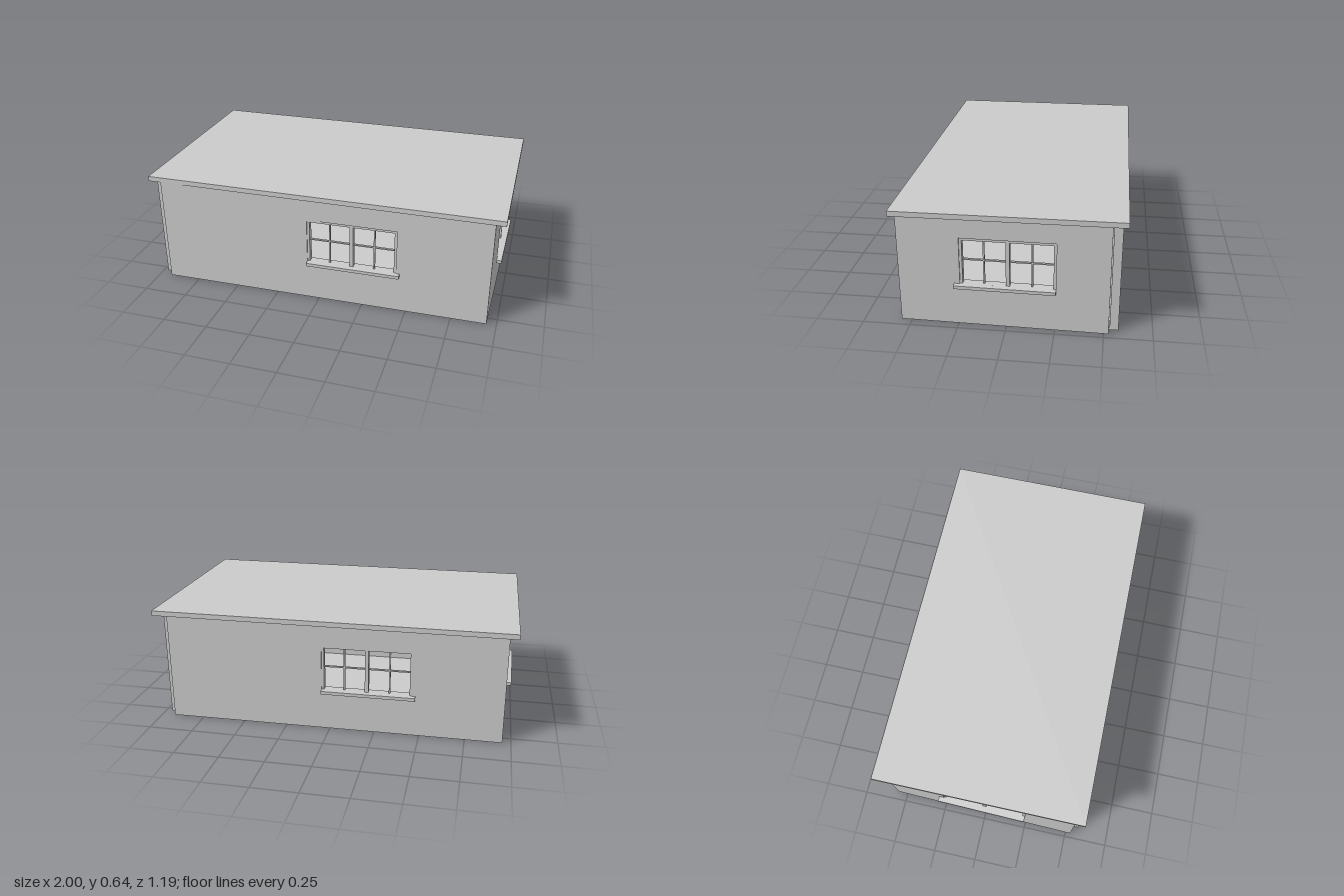
import * as THREE from 'three';

const material = new THREE.MeshStandardMaterial({ color: 0xcccccc, flatShading: true });
const WALL_TOP = 0.615, THICK = 0.045;
const WIN_BOTTOM = 0.235, WIN_TOP = 0.492;

function box(parent, name, x0, x1, y0, y1, z0, z1) {
  const mesh = new THREE.Mesh(new THREE.BoxGeometry(x1 - x0, y1 - y0, z1 - z0), material);
  mesh.position.set((x0 + x1) / 2, (y0 + y1) / 2, (z0 + z1) / 2);
  mesh.name = name;
  parent.add(mesh);
}

// Window with border, central mullion, thin glazing bars and a sill
function makeWindow(x0, x1, sill0, sill1) {
  const win = new THREE.Group();
  win.name = 'window';
  const b = 0.014, back = -0.038, front = -0.006;
  box(win, 'frameLeft', x0, x0 + b, WIN_BOTTOM, WIN_TOP, back, front);
  box(win, 'frameRight', x1 - b, x1, WIN_BOTTOM, WIN_TOP, back, front);
  box(win, 'frameTop', x0 + b, x1 - b, WIN_TOP - b, WIN_TOP, back, front);
  const mid = (x0 + x1) / 2, quarter = (x1 - x0) / 4;
  box(win, 'mullion', mid - 0.01, mid + 0.01, WIN_BOTTOM, WIN_TOP - b, back, front);
  for (const s of [-1, 1]) {
    const c = mid + s * quarter;
    box(win, 'verticalBar', c - 0.004, c + 0.004, WIN_BOTTOM, WIN_TOP - b, -0.028, -0.016);
  }
  box(win, 'horizontalBar', x0 + b, x1 - b, 0.364, 0.371, -0.028, -0.016);
  box(win, 'sill', sill0, sill1, 0.217, WIN_BOTTOM, -THICK + 0.002, 0.028);
  return win;
}

// Wall from plan point a to b (outer face), pierced by one window
function makeWall(name, a, b, win) {
  const dx = b[0] - a[0], dz = b[1] - a[1], length = Math.hypot(dx, dz);
  const shape = new THREE.Shape([
    new THREE.Vector2(0, 0), new THREE.Vector2(length, 0),
    new THREE.Vector2(length, WALL_TOP), new THREE.Vector2(0, WALL_TOP)]);
  shape.holes.push(new THREE.Path([
    new THREE.Vector2(win[0], WIN_BOTTOM), new THREE.Vector2(win[0], WIN_TOP),
    new THREE.Vector2(win[1], WIN_TOP), new THREE.Vector2(win[1], WIN_BOTTOM)]));
  const geometry = new THREE.ExtrudeGeometry(shape, { depth: THICK, bevelEnabled: false });
  geometry.translate(0, 0, -THICK);
  const wall = new THREE.Group();
  wall.name = name;
  const panel = new THREE.Mesh(geometry, material);
  panel.name = 'wallPanel';
  wall.add(panel, makeWindow(...win));
  wall.position.set(a[0], 0, a[1]);
  wall.rotation.y = Math.atan2(-dz, dx);
  return wall;
}

export function createModel() {
  const model = new THREE.Group();
  model.name = 'house';

  // Slightly skewed walls; two opposite corners are left notched
  model.add(
    makeWall('frontWall', [-0.93, 0.573], [0.947, 0.557], [0.865, 1.37, 0.865, 1.39]),
    makeWall('rightWall', [0.947, 0.557], [0.965, -0.525], [0.32, 0.812, 0.29, 0.812]),
    makeWall('backWall', [0.925, -0.575], [-0.953, -0.557], [0.88, 1.382, 0.88, 1.4]),
    makeWall('leftWall', [-0.953, -0.557], [-0.975, 0.53], [0.315, 0.802, 0.285, 0.802]));

  // Floor and flat overhanging roof
  box(model, 'floor', -0.932, 0.925, 0, 0.015, -0.533, 0.53);
  box(model, 'roof', -1, 1, 0.614, 0.642, -0.6, 0.578);
  return model;
}
